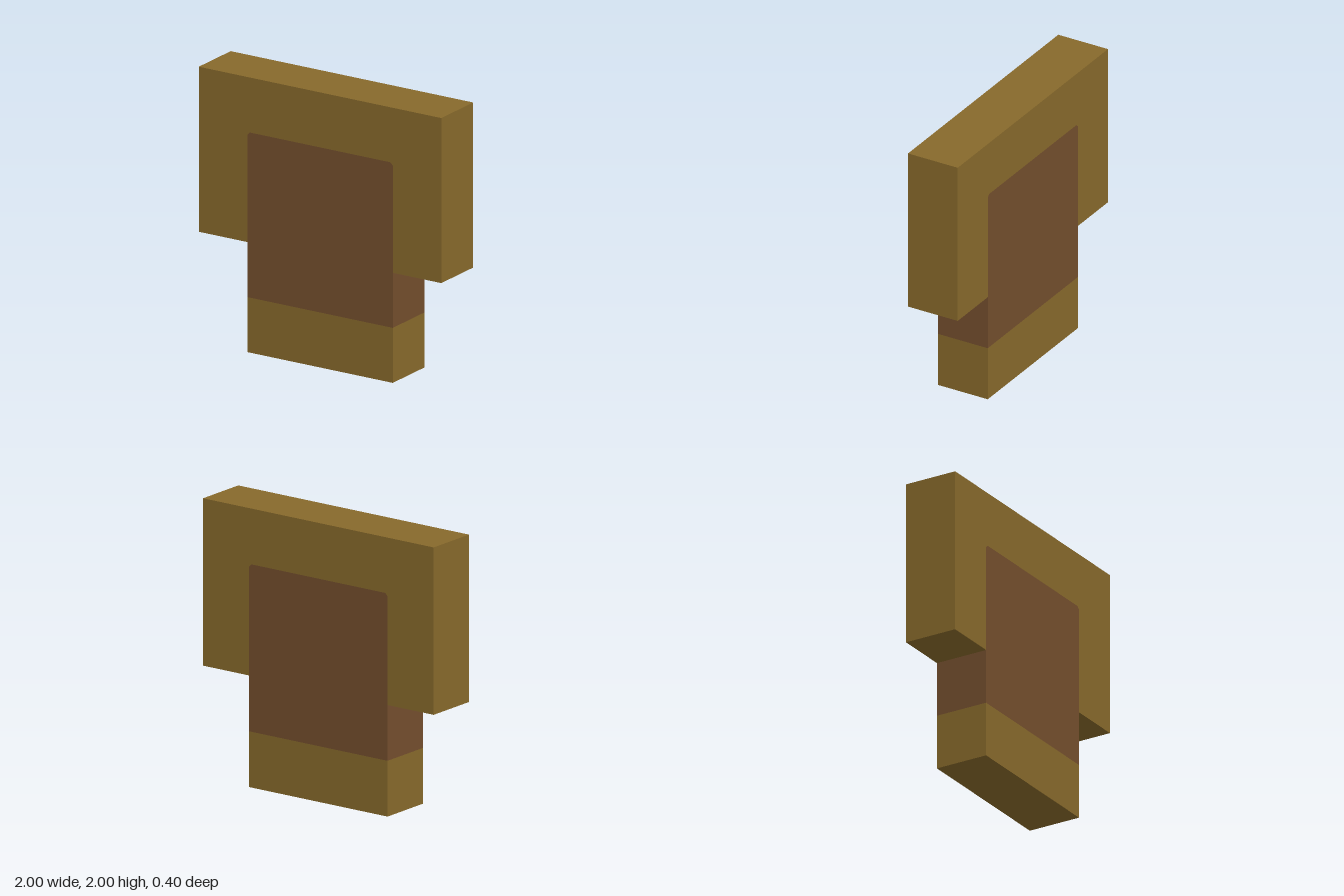
import * as THREE from 'three';

const DEPTH = 0.4;   // full thickness of the block
const HALF = 0.6;    // half width of the stem
const CUT = 0.02;    // clipped upper corners of the dark panel

const gold = new THREE.MeshStandardMaterial({ color: 0x87692b });
gold.name = 'goldenBrown';
const brown = new THREE.MeshStandardMaterial({ color: 0x734e2d });
brown.name = 'darkBrown';

// Extrudes an outline through the whole thickness, centred on z = 0
function slab(name, points, material) {
  const shape = new THREE.Shape(points.map(([x, y]) => new THREE.Vector2(x, y)));
  const geometry = new THREE.ExtrudeGeometry(shape, { depth: DEPTH, bevelEnabled: false });
  geometry.translate(0, 0, -DEPTH / 2);
  const mesh = new THREE.Mesh(geometry, material);
  mesh.name = name;
  return mesh;
}

export function createModel() {
  const model = new THREE.Group();
  model.name = 'tShapedBlock';

  // Upper edge of the panel, shared with the notch in the head
  const arch = [[HALF, 1.6 - CUT], [HALF - CUT, 1.6], [-HALF + CUT, 1.6], [-HALF, 1.6 - CUT]];

  // Wide head that wraps around the panel
  model.add(slab('head', [
    [1, 0.8], [1, 2], [-1, 2], [-1, 0.8], [-HALF, 0.8],
    ...[...arch].reverse(), [HALF, 0.8],
  ], gold));

  // Dark panel, flush with the head at front and back
  model.add(slab('panel', [[-HALF, 0.4], [HALF, 0.4], ...arch], brown));

  // Foot of the stem
  const foot = new THREE.Mesh(new THREE.BoxGeometry(2 * HALF, 0.4, DEPTH), gold);
  foot.name = 'foot';
  foot.position.y = 0.2;
  model.add(foot);

  return model;
}
